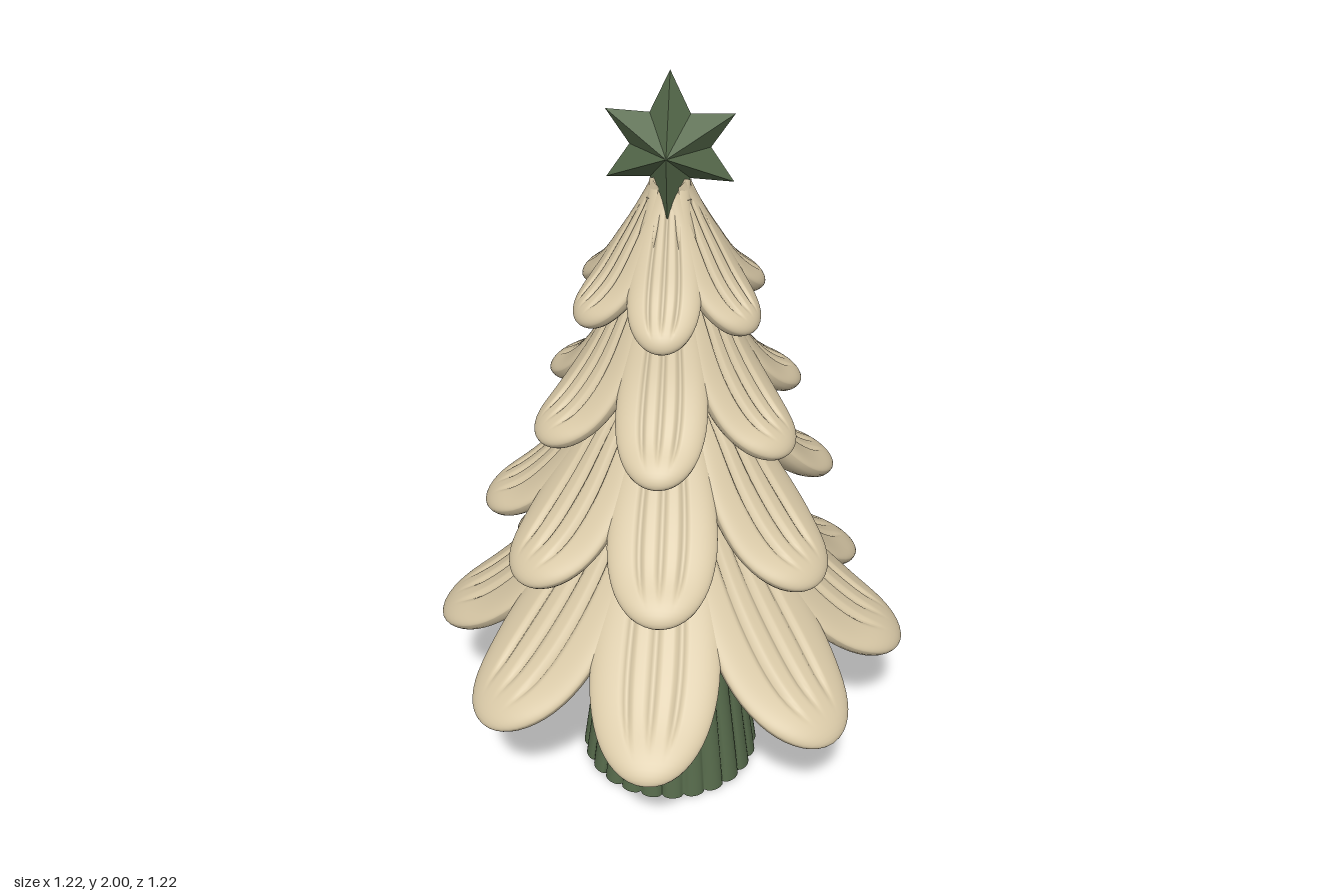
import * as THREE from 'three';

const cream = new THREE.MeshStandardMaterial({ color: 0xd8c8a6 });
cream.name = 'cream';
const green = new THREE.MeshStandardMaterial({ color: 0x566a4b });
green.name = 'green';

// Each tier: top centre line of a petal as [radius, height], half width, half thickness,
// and the compass angles of its petals (0 = +x, 90 = front)
const TIERS = [
  { path: [[0.11, 1.08], [0.175, 0.925], [0.255, 0.79], [0.37, 0.645], [0.49, 0.53], [0.626, 0.447]],
    width: 0.16, thick: 0.037, angles: [0, 43, 90, 135, 180, 226, 272, 318] },
  { path: [[0.09, 1.28], [0.195, 1.12], [0.285, 0.99], [0.375, 0.895], [0.487, 0.825]],
    width: 0.132, thick: 0.034, angles: [35, 88, 136, 180, 226, 273, 325] },
  { path: [[0.07, 1.56], [0.135, 1.41], [0.2, 1.285], [0.27, 1.2], [0.364, 1.138]],
    width: 0.108, thick: 0.032, angles: [30, 90, 150, 210, 270, 330] },
  { path: [[0.03, 1.75], [0.06, 1.695], [0.11, 1.605], [0.17, 1.512], [0.256, 1.432]],
    width: 0.085, thick: 0.029, angles: [30, 90, 150, 210, 270, 330] },
];

// Circular falloff to zero between s = start and s = 1
const roundEnd = (s, start) => {
  const k = Math.max(0, (s - start) / (1 - start));
  return Math.sqrt(Math.max(0, 1 - k * k));
};

function indexRings(geo, rings, count) {
  const index = [];
  for (let i = 0; i < rings; i++) {
    for (let j = 0; j < count; j++) {
      const a = i * count + j, b = i * count + (j + 1) % count;
      index.push(a, b, a + count, b, b + count, a + count);
    }
  }
  geo.setIndex(index);
}

// Plump rounded petal swept down a curve: three narrow grooves above, a full belly below
function petalGeometry({ path, width, thick }) {
  const curve = new THREE.CatmullRomCurve3(path.map(([r, y]) => new THREE.Vector3(0, y, r)));
  const rings = 26, upper = 68, lower = 14, count = upper + lower;
  const pos = [];
  for (let i = 0; i <= rings; i++) {
    const s = 1 - Math.pow(1 - i / rings, 1.7);
    const p = curve.getPointAt(s), t = curve.getTangentAt(s);
    const ny = t.z, nz = -t.y;
    const w = width * (0.55 + 0.45 * THREE.MathUtils.smoothstep(s, 0, 0.68)) * roundEnd(s, 0.68);
    const h = thick * roundEnd(s, 0.87);
    const belly = 1.35 + 1.2 * (1 - s);
    const fade = 1 - THREE.MathUtils.smoothstep(s, 0.78, 0.92);
    for (let j = 0; j < count; j++) {
      const a = j < upper ? Math.PI * j / upper : Math.PI * (1 + (j - upper) / lower);
      const u = Math.cos(a);
      let v = Math.sin(a) * h * (j < upper ? 1 : belly);
      if (j < upper) {
        for (const g of [-0.4, 0, 0.4]) v -= 0.35 * thick * fade * Math.exp(-(((u - g) / 0.05) ** 2));
      }
      const d = v - thick;
      pos.push(u * w, p.y + ny * d, p.z + nz * d);
    }
  }
  const geo = new THREE.BufferGeometry();
  geo.setAttribute('position', new THREE.Float32BufferAttribute(pos, 3));
  indexRings(geo, rings, count);
  geo.computeVertexNormals();
  return geo;
}

// Tapered trunk with rounded flutes
function trunkGeometry() {
  const geo = new THREE.CylinderGeometry(0.189, 0.237, 0.36, 192, 6);
  geo.translate(0, 0.18, 0);
  const p = geo.attributes.position;
  for (let i = 0; i < p.count; i++) {
    const x = p.getX(i), z = p.getZ(i);
    const k = 0.94 + 0.06 * Math.sqrt(Math.abs(Math.sin(12 * Math.atan2(x, z))));
    p.setXYZ(i, x * k, p.getY(i), z * k);
  }
  geo.computeVertexNormals();
  return geo;
}

// Six-pointed faceted star whose lowest point splits in two to straddle the tree top
function starGeometry() {
  const cy = 1.817, peak = 1.83, depth = 0.097, foot = 0.072;
  const rim = (i, side) => {
    const a = Math.PI / 2 + i * Math.PI / 6;
    const r = i % 2 ? 0.092 : i === 0 ? 0.183 : i === 6 ? 0.149 : 0.168;
    return [r * Math.cos(a), cy + r * Math.sin(a), i === 6 ? side * foot : 0];
  };
  const pos = [];
  const tri = (a, b, c) => pos.push(...a, ...b, ...c);
  for (let i = 0; i < 12; i++) {
    const j = (i + 1) % 12;
    tri([0, peak, depth], rim(i, 1), rim(j, 1));
    tri([0, peak, -depth], rim(j, -1), rim(i, -1));
  }
  tri(rim(5, 1), rim(6, -1), rim(6, 1));
  tri(rim(7, 1), rim(6, 1), rim(6, -1));
  const geo = new THREE.BufferGeometry();
  geo.setAttribute('position', new THREE.Float32BufferAttribute(pos, 3));
  geo.computeVertexNormals();
  return geo;
}

export function createModel() {
  const model = new THREE.Group();
  model.name = 'tree';
  const add = (parent, name, geo, mat) => {
    const mesh = new THREE.Mesh(geo, mat);
    mesh.name = name;
    parent.add(mesh);
    return mesh;
  };

  // Trunk and its collar
  add(model, 'trunk', trunkGeometry(), green);
  const collar = add(model, 'trunkCollar', new THREE.TorusGeometry(0.178, 0.012, 10, 64), green);
  collar.rotation.x = Math.PI / 2;
  collar.position.y = 0.357;

  // Core that fills the gaps between petals
  const core = [[0, 0.368], [0.14, 0.368], [0.19, 0.376], [0.222, 0.4], [0.236, 0.44], [0.245, 0.52],
    [0.235, 0.64], [0.195, 0.78], [0.155, 0.91], [0.125, 1.03], [0.12, 1.15], [0.13, 1.24],
    [0.1, 1.35], [0.075, 1.45], [0.08, 1.54], [0.05, 1.64], [0, 1.75]];
  const spline = new THREE.SplineCurve(core.map(([r, y]) => new THREE.Vector2(r, y)));
  const corePoints = spline.getPoints(64).map((p) => new THREE.Vector2(Math.max(0, p.x), p.y));
  add(model, 'core', new THREE.LatheGeometry(corePoints, 64), cream);

  // Four tiers of petals, fewer towards the top
  TIERS.forEach((tier, n) => {
    const group = new THREE.Group();
    group.name = `branchTier${n + 1}`;
    const geo = petalGeometry(tier);
    for (const angle of tier.angles) {
      add(group, 'petal', geo, cream).rotation.y = THREE.MathUtils.degToRad(90 - angle);
    }
    model.add(group);
  });

  add(model, 'star', starGeometry(), green);
  return model;
}
